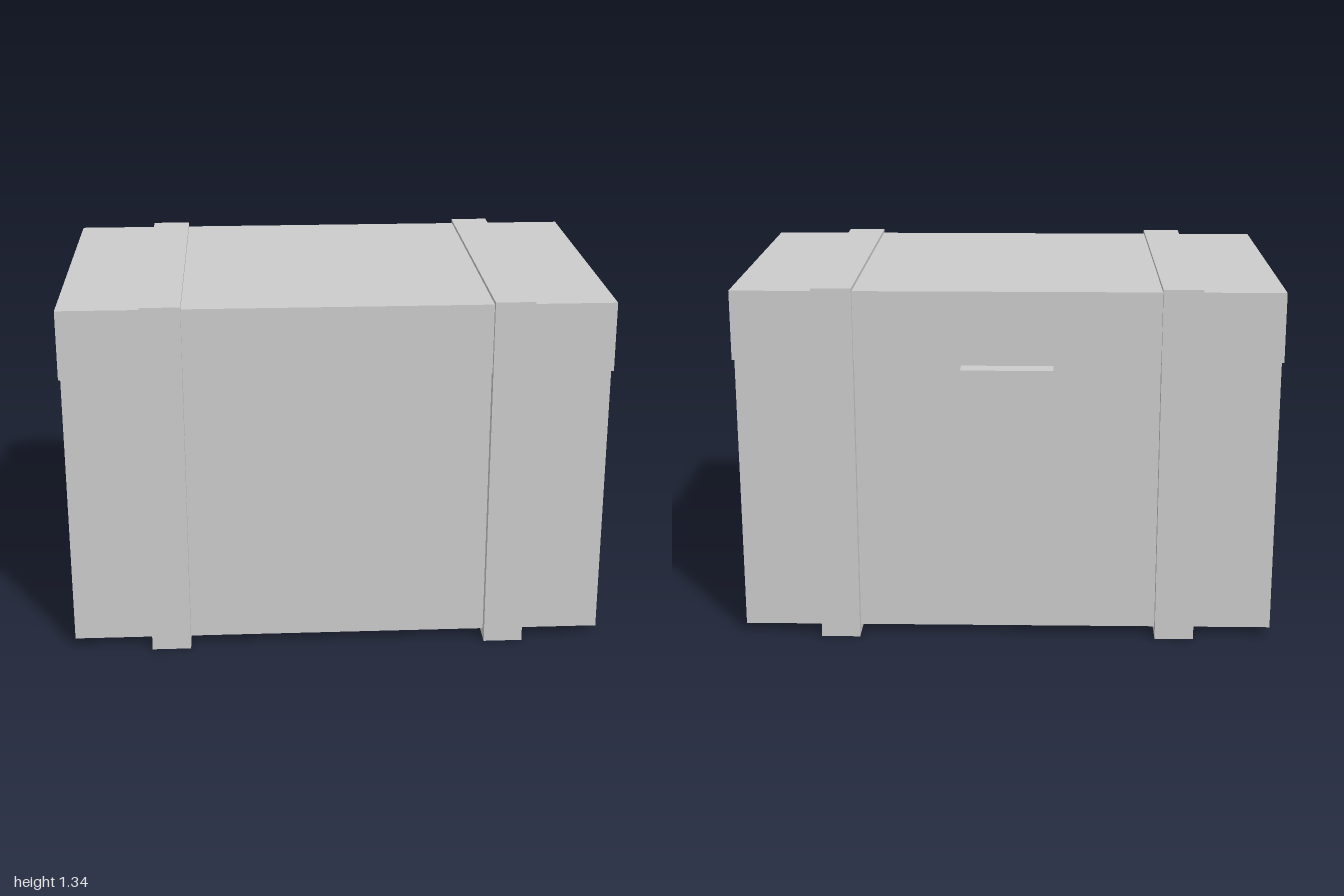
import * as THREE from 'three';

export function createModel() {
  const group = new THREE.Group();
  const grey = new THREE.MeshStandardMaterial({ color: 0xcccccc });
  grey.name = 'light grey';

  // Adds a box given its extents along each axis
  function addBox(name, [x0, x1], [y0, y1], [z0, z1]) {
    const mesh = new THREE.Mesh(new THREE.BoxGeometry(x1 - x0, y1 - y0, z1 - z0), grey);
    mesh.position.set((x0 + x1) / 2, (y0 + y1) / 2, (z0 + z1) / 2);
    mesh.name = name;
    group.add(mesh);
  }

  // Chest body and slightly overhanging lid
  addBox('body', [-0.994, 0.994], [0.035, 1.073], [-0.58, 0.618]);
  addBox('lid', [-1, 1], [1.073, 1.33], [-0.6, 0.635]);

  // Bands running all the way round the chest
  for (const [name, x] of [['leftStrap', 0.63], ['rightStrap', -0.63]]) {
    addBox(name, [x - 0.0725, x + 0.0725], [0, 1.343], [-0.618, 0.655]);
  }

  // Lock plate on the back
  addBox('lockPlate', [-0.168, 0.168], [0.732, 1.052], [-0.652, -0.58]);

  return group;
}
